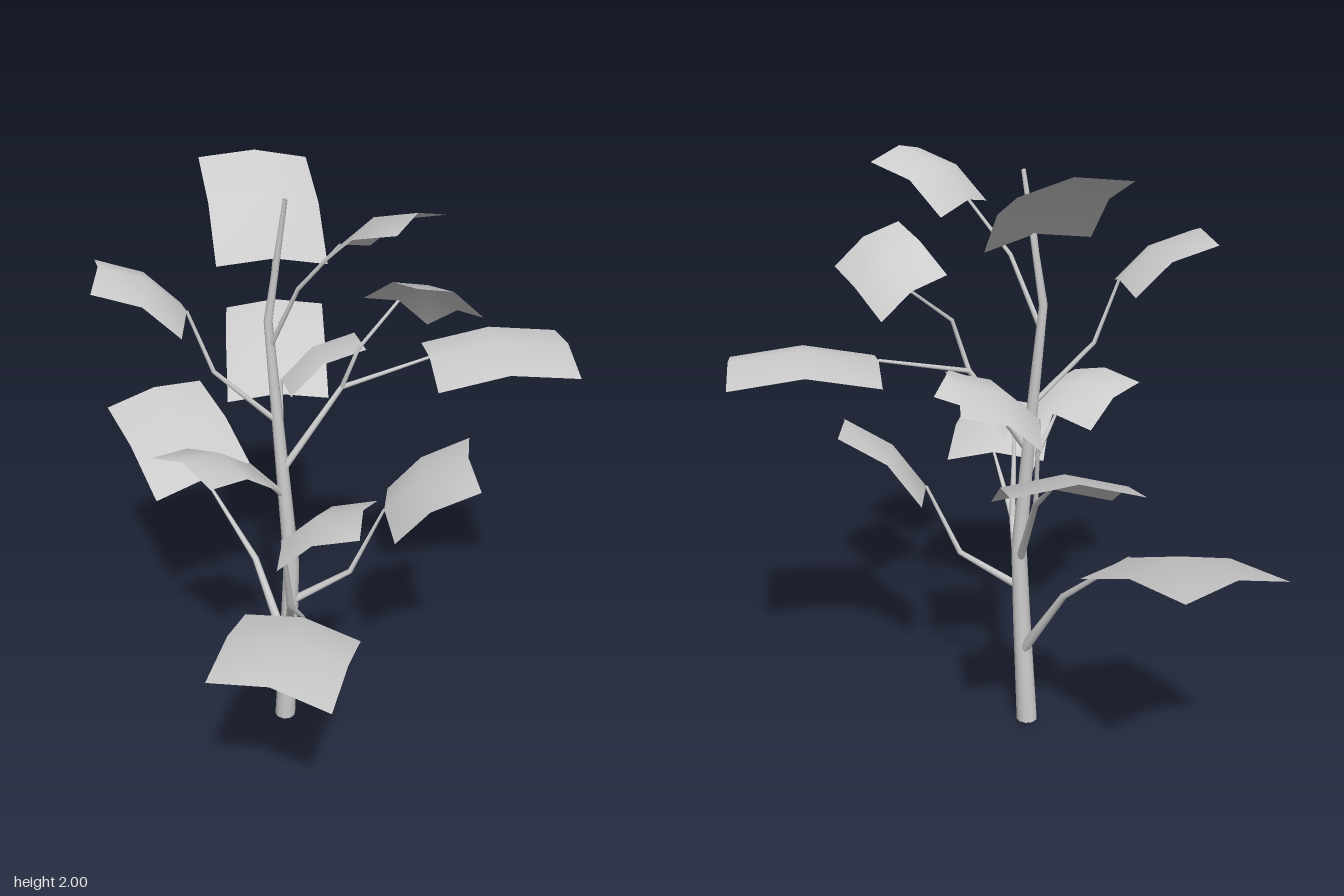
import * as THREE from 'three';

const grey = new THREE.MeshStandardMaterial({ color: 0xcccccc, side: THREE.DoubleSide });
const V = (p) => new THREE.Vector3(...p);
const BULGE = 0.036;

// Tapered tube through kinked points, one ring of vertices per point
function stem(name, points, radii, sides = 8) {
  const pts = points.map(V), last = pts.length - 1;
  const axis = pts[last].clone().sub(pts[0]).normalize();
  const ref = Math.abs(axis.x) < 0.6 ? V([1, 0, 0]) : V([0, 0, 1]);
  const position = [], index = [];
  pts.forEach((p, i) => {
    const t = pts[Math.min(i + 1, last)].clone().sub(pts[Math.max(i - 1, 0)]).normalize();
    const v = t.clone().cross(ref).normalize();
    const u = v.clone().cross(t);
    for (let j = 0; j < sides; j++) {
      const a = (j / sides) * Math.PI * 2;
      const q = p.clone().addScaledVector(u, Math.cos(a) * radii[i]).addScaledVector(v, Math.sin(a) * radii[i]);
      position.push(q.x, q.y, q.z);
      if (i === last) continue;
      const k = (j + 1) % sides, r = i * sides, s = r + sides;
      index.push(r + j, r + k, s + j, r + k, s + k, s + j);
    }
  });
  const geo = new THREE.BufferGeometry();
  geo.setAttribute('position', new THREE.Float32BufferAttribute(position, 3));
  geo.setIndex(index);
  geo.computeVertexNormals();
  const mesh = new THREE.Mesh(geo, grey);
  mesh.name = name;
  return mesh;
}

// Arched leaf: base edge from left to right, swept along its length and bulged in both directions
function leaf(name, left, right, along) {
  const bl = V(left), u = V(right).sub(bl), v = V(along);
  const n = u.clone().cross(v).normalize();
  const geo = new THREE.PlaneGeometry(2, 2, 2, 2);
  const pos = geo.attributes.position;
  for (let i = 0; i < pos.count; i++) {
    const s = pos.getX(i), t = pos.getY(i);
    const p = bl.clone().addScaledVector(u, (s + 1) / 2).addScaledVector(v, (t + 1) / 2)
      .addScaledVector(n, BULGE * (2 - s * s - t * t));
    pos.setXYZ(i, p.x, p.y, p.z);
  }
  geo.computeVertexNormals();
  const mesh = new THREE.Mesh(geo, grey);
  mesh.name = name;
  const base = bl.clone().addScaledVector(u, 0.5).addScaledVector(n, BULGE);
  return { mesh, base: base.toArray() };
}

export function createModel() {
  const tree = new THREE.Group();
  tree.name = 'leafyTree';

  // Trunk with a closed foot
  tree.add(stem('trunk', [
    [-0.19, 0, -0.03], [-0.17, 0.4, -0.01], [-0.157, 0.68, -0.005], [-0.18, 1.08, -0.025],
    [-0.205, 1.55, -0.075], [-0.15, 1.96, -0.01],
  ], [0.037, 0.031, 0.027, 0.021, 0.014, 0.007], 10));
  const foot = new THREE.Mesh(new THREE.CircleGeometry(0.037, 10).rotateX(Math.PI / 2), grey);
  foot.position.set(-0.19, 0, -0.03);
  foot.name = 'trunkFoot';
  tree.add(foot);

  // Branch that ends at the middle of its leaf's base edge
  const limb = (name, path, thick, left, right, along) => {
    const { mesh, base } = leaf(name + 'Leaf', left, right, along);
    const points = [...path, base], n = points.length - 1;
    const radii = points.map((_, i) => THREE.MathUtils.lerp(thick, 0.005, i / n));
    tree.add(stem(name + 'Branch', points, radii), mesh);
  };

  // Lower limbs
  limb('lowBackRight', [[-0.175, 0.29, -0.03], [-0.265, 0.58, -0.2]], 0.018,
    [-0.6, 0.76, -0.35], [-0.24, 0.79, -0.47], [-0.16, 0.15, -0.47]);
  limb('lowFront', [[-0.17, 0.39, 0], [-0.19, 0.675, 0.24]], 0.018,
    [-0.015, 0.77, 0.58], [-0.35, 0.8, 0.43], [-0.145, 0.06, 0.385]);
  limb('frontFork', [[-0.19, 0.675, 0.24]], 0.012,
    [-0.16, 0.975, 0.255], [-0.255, 0.99, 0.49], [0.235, 0.14, 0.085]);
  limb('lowLeft', [[-0.15, 0.53, 0], [0.04, 0.655, 0.04]], 0.014,
    [0.19, 0.895, -0.09], [0.16, 0.86, 0.205], [0.255, 0.225, 0.09]);

  // Middle limbs
  limb('back', [[-0.16, 0.635, -0.01], [-0.16, 0.93, -0.21]], 0.015,
    [-0.32, 1.06, -0.5], [0.04, 1.07, -0.46], [0.035, 0.195, -0.405]);
  limb('backFork', [[-0.16, 0.93, -0.21]], 0.009,
    [-0.13, 1.19, -0.4], [-0.13, 1.245, -0.14], [0.255, 0.14, -0.03]);
  limb('frontRight', [[-0.18, 0.95, -0.015], [-0.24, 1.04, 0.03]], 0.012,
    [-0.22, 1.085, 0.18], [-0.39, 1.095, -0.025], [-0.21, 0.105, 0.145]);
  limb('left', [[-0.178, 1.04, -0.02], [0.02, 1.33, -0.02]], 0.013,
    [0.325, 1.365, -0.24], [0.305, 1.355, 0.12], [0.46, 0.02, 0.01]);
  limb('leftFork', [[0.02, 1.33, -0.02], [0.065, 1.485, 0.03]], 0.008,
    [0.3, 1.515, -0.05], [0.085, 1.64, 0], [0.115, 0.12, 0.245]);

  // Upper limbs
  limb('right', [[-0.187, 1.21, -0.04], [-0.385, 1.405, -0.04]], 0.01,
    [-0.48, 1.575, 0.08], [-0.47, 1.585, -0.18], [-0.255, 0.155, -0.01]);
  limb('highFrontLeft', [[-0.2, 1.47, -0.065], [-0.12, 1.69, 0.02]], 0.009,
    [0.1, 1.815, 0.02], [-0.08, 1.825, 0.2], [0.19, 0.145, 0.175]);
  limb('highBack', [[-0.203, 1.56, -0.075]], 0.008,
    [-0.36, 1.75, -0.045], [-0.015, 1.725, -0.08], [-0.02, 0.235, -0.345]);

  return tree;
}
